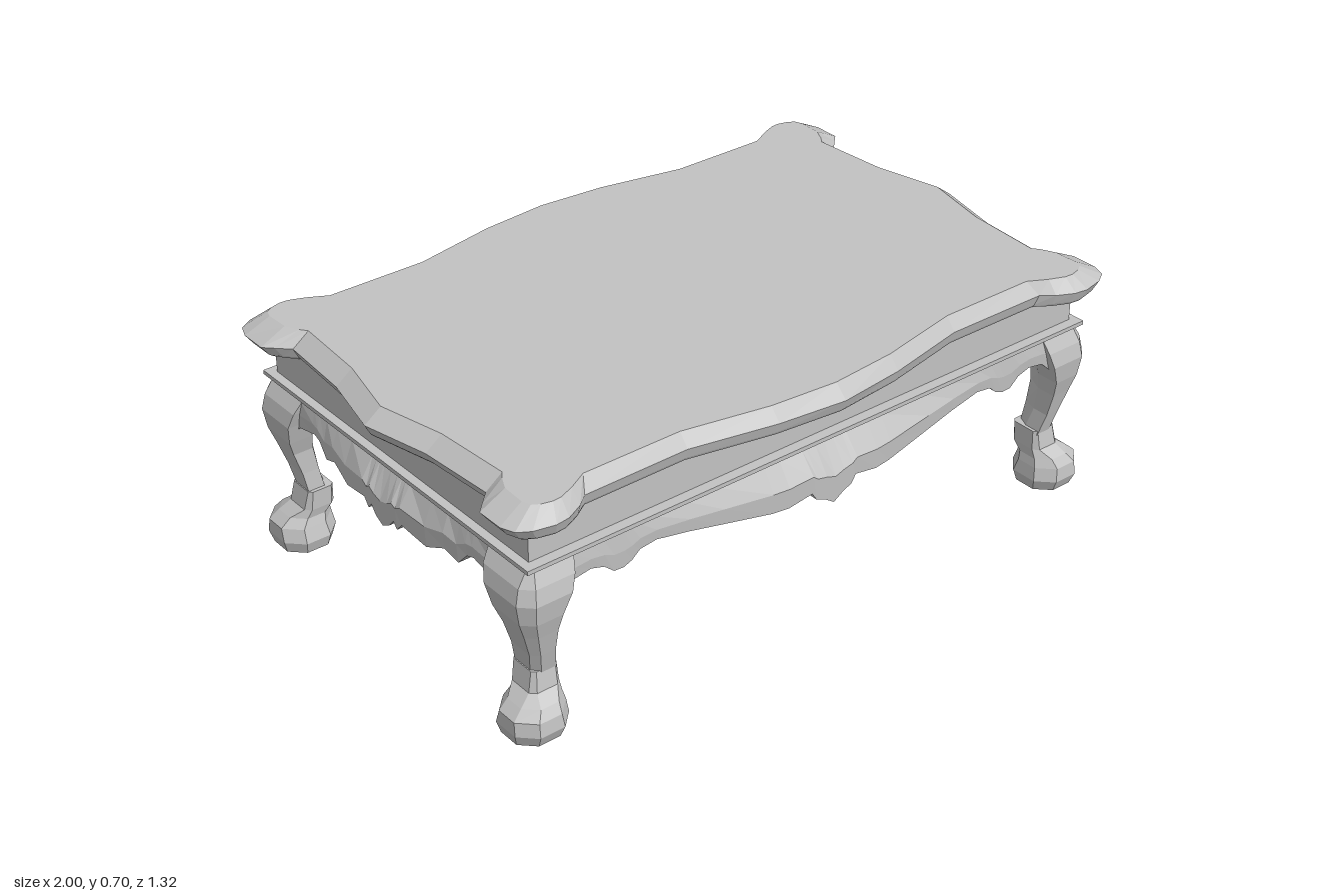
import * as THREE from 'three';

const wood = new THREE.MeshStandardMaterial({ color: 0xc2c2c2, flatShading: true });
wood.name = 'plain grey wood';

// Skin a list of closed rings of [x, y, z]; optional flat caps for horizontal rings
function loft(rings, caps = true) {
  const pos = [];
  const tri = (...pts) => pts.forEach((p) => pos.push(...p));
  for (let r = 0; r < rings.length - 1; r++) {
    const a = rings[r], b = rings[r + 1], n = a.length;
    for (let i = 0; i < n; i++) {
      const j = (i + 1) % n;
      tri(a[i], b[i], a[j]);
      tri(a[j], b[i], b[j]);
    }
  }
  if (caps) {
    const low = rings[0], high = rings[rings.length - 1];
    const faces = (ring) => THREE.ShapeUtils.triangulateShape(ring.map((p) => new THREE.Vector2(p[0], p[2])), []);
    faces(low).forEach(([i, j, k]) => tri(low[i], low[j], low[k]));
    faces(high).forEach(([i, j, k]) => tri(high[i], high[k], high[j]));
  }
  const g = new THREE.BufferGeometry();
  g.setAttribute('position', new THREE.Float32BufferAttribute(pos, 3));
  g.computeVertexNormals();
  return g;
}

function part(name, geometry, parent) {
  const m = new THREE.Mesh(geometry, wood);
  m.name = name;
  parent.add(m);
  return m;
}

// Mirror a quarter outline (from +x axis to +z axis) into a full loop
function fourfold(q) {
  const back = q.slice(1, -1).reverse();
  return [
    ...q,
    ...back.map(([x, z]) => [-x, z]),
    ...q.slice(0, -1).map(([x, z]) => [-x, -z]),
    ...[...q].slice(1).reverse().map(([x, z]) => [x, -z]),
  ];
}

// Rectangular hollow frame
function frame(x, z, y0, y1) {
  const rect = (T, a, b) => {
    const s = new T();
    s.moveTo(-a, -b); s.lineTo(a, -b); s.lineTo(a, b); s.lineTo(-a, b); s.closePath();
    return s;
  };
  const s = rect(THREE.Shape, x, z);
  s.holes.push(rect(THREE.Path, 0.895, 0.54));
  return new THREE.ExtrudeGeometry(s, { depth: y1 - y0, bevelEnabled: false })
    .rotateX(-Math.PI / 2).translate(0, y0, 0);
}

// Scalloped apron: half profile of [distance from middle, bottom height], bowed outward
function apron(half, base, bow, reach) {
  const full = [...half.slice(1).reverse().map(([u, y]) => [-u, y]), ...half];
  return loft(full.map(([u, y]) => {
    const t = Math.max(0, 1 - Math.abs(u) / reach);
    const d = base + bow * t * t * (3 - 2 * t);
    const mid = 0.5 + (y - 0.5) * 0.5;
    return [
      [u, y, d - 0.003], [u, mid, d], [u, 0.505, base - 0.005],
      [u, 0.505, base - 0.045], [u, y, d - 0.045],
    ];
  }), false);
}

// Leg section: y, x range, z range, wall depth on the inner side, outer chamfer
const legRing = ([y, xi, xo, zi, zo, t, c]) => [
  [xo, y, zi], [xo, y, zo - c], [xo - c, y, zo], [xi, y, zo], [xi, y, zo - t], [xo - t, y, zi],
];
const legSections = [
  [0.17, 0.84, 0.905, 0.473, 0.555, 0.05, 0.02],
  [0.24, 0.853, 0.918, 0.478, 0.573, 0.05, 0.02],
  [0.31, 0.855, 0.94, 0.478, 0.59, 0.06, 0.025],
  [0.36, 0.848, 0.958, 0.462, 0.603, 0.07, 0.03],
  [0.42, 0.825, 0.968, 0.445, 0.612, 0.07, 0.035],
  [0.465, 0.81, 0.957, 0.43, 0.603, 0.06, 0.03],
  [0.503, 0.80, 0.932, 0.42, 0.585, 0.05, 0.015],
];

// Foot section: y, x range, z range, corner cut
const footRing = ([y, a, b, c, d, k]) => [
  [b, y, c + k], [b, y, d - k], [b - k, y, d], [a + k, y, d],
  [a, y, d - k], [a, y, c + k], [a + k, y, c], [b - k, y, c],
];
const footSections = [
  [0, 0.83, 0.975, 0.46, 0.605, 0.04],
  [0.035, 0.82, 0.985, 0.45, 0.62, 0.045],
  [0.075, 0.825, 0.983, 0.462, 0.615, 0.045],
  [0.1, 0.83, 0.955, 0.47, 0.597, 0.035],
  [0.125, 0.83, 0.922, 0.465, 0.565, 0.015],
  [0.182, 0.833, 0.91, 0.463, 0.555, 0.01],
];

export function createModel() {
  const table = new THREE.Group();
  table.name = 'lowTable';

  // Tabletop with bowed edges and rounded corner lobes
  const outer = fourfold([
    [1, 0], [0.955, 0.2], [0.94, 0.43], [0.975, 0.465], [1, 0.49], [1, 0.57], [0.985, 0.61],
    [0.95, 0.632], [0.89, 0.645], [0.85, 0.64], [0.8, 0.615], [0.765, 0.587],
    [0.45, 0.585], [0.2, 0.637], [0, 0.66],
  ]);
  const inner = fourfold([
    [0.95, 0], [0.905, 0.2], [0.89, 0.43], [0.905, 0.45], [0.925, 0.49], [0.928, 0.56], [0.92, 0.585],
    [0.9, 0.597], [0.87, 0.605], [0.845, 0.603], [0.8, 0.585], [0.745, 0.555],
    [0.45, 0.555], [0.2, 0.605], [0, 0.622],
  ]);
  const slab = (y, k) => outer.map(([x, z], i) => [x + (inner[i][0] - x) * k, y, z + (inner[i][1] - z) * k]);
  part('tabletop', loft([slab(0.622, 0.45), slab(0.63, 0.3), slab(0.66, 0), slab(0.697, 1)]), table);

  // Hollow frieze and stepped moulding
  part('frieze', frame(0.918, 0.565, 0.52, 0.625), table);
  part('upperMoulding', frame(0.943, 0.595, 0.51, 0.522), table);
  part('lowerMoulding', frame(0.93, 0.583, 0.5, 0.51), table);

  // Scalloped aprons on all four sides
  const longApron = apron([
    [0, 0.34], [0.03, 0.36], [0.06, 0.372], [0.075, 0.395], [0.15, 0.38], [0.2, 0.383], [0.35, 0.408],
    [0.45, 0.425], [0.55, 0.44], [0.6, 0.432], [0.625, 0.41], [0.65, 0.4], [0.68, 0.402],
    [0.71, 0.428], [0.75, 0.44], [0.8, 0.432], [0.83, 0.405], [0.86, 0.37],
  ], 0.588, 0.045, 0.65);
  const shortApron = apron([
    [0, 0.35], [0.03, 0.365], [0.05, 0.388], [0.065, 0.37], [0.085, 0.393], [0.18, 0.375],
    [0.25, 0.405], [0.3, 0.387], [0.335, 0.425], [0.36, 0.432], [0.44, 0.412], [0.465, 0.39], [0.49, 0.35],
  ], 0.937, 0.035, 0.45);
  part('frontApron', longApron, table);
  part('backApron', longApron, table).rotation.y = Math.PI;
  part('leftApron', shortApron, table).rotation.y = Math.PI / 2;
  part('rightApron', shortApron, table).rotation.y = -Math.PI / 2;

  // Four cabriole legs with block feet
  for (const [sx, sz, label] of [[1, 1, 'frontLeft'], [-1, 1, 'frontRight'], [1, -1, 'backLeft'], [-1, -1, 'backRight']]) {
    const leg = new THREE.Group();
    leg.name = label + 'Leg';
    const place = (ring) => {
      const r = ring.map(([x, y, z]) => [x * sx, y, z * sz]);
      return sx * sz < 0 ? r.reverse() : r;
    };
    part('cabrioleLeg', loft(legSections.map((s) => place(legRing(s)))), leg);
    part('foot', loft(footSections.map((s) => place(footRing(s)))), leg);
    table.add(leg);
  }
  return table;
}
